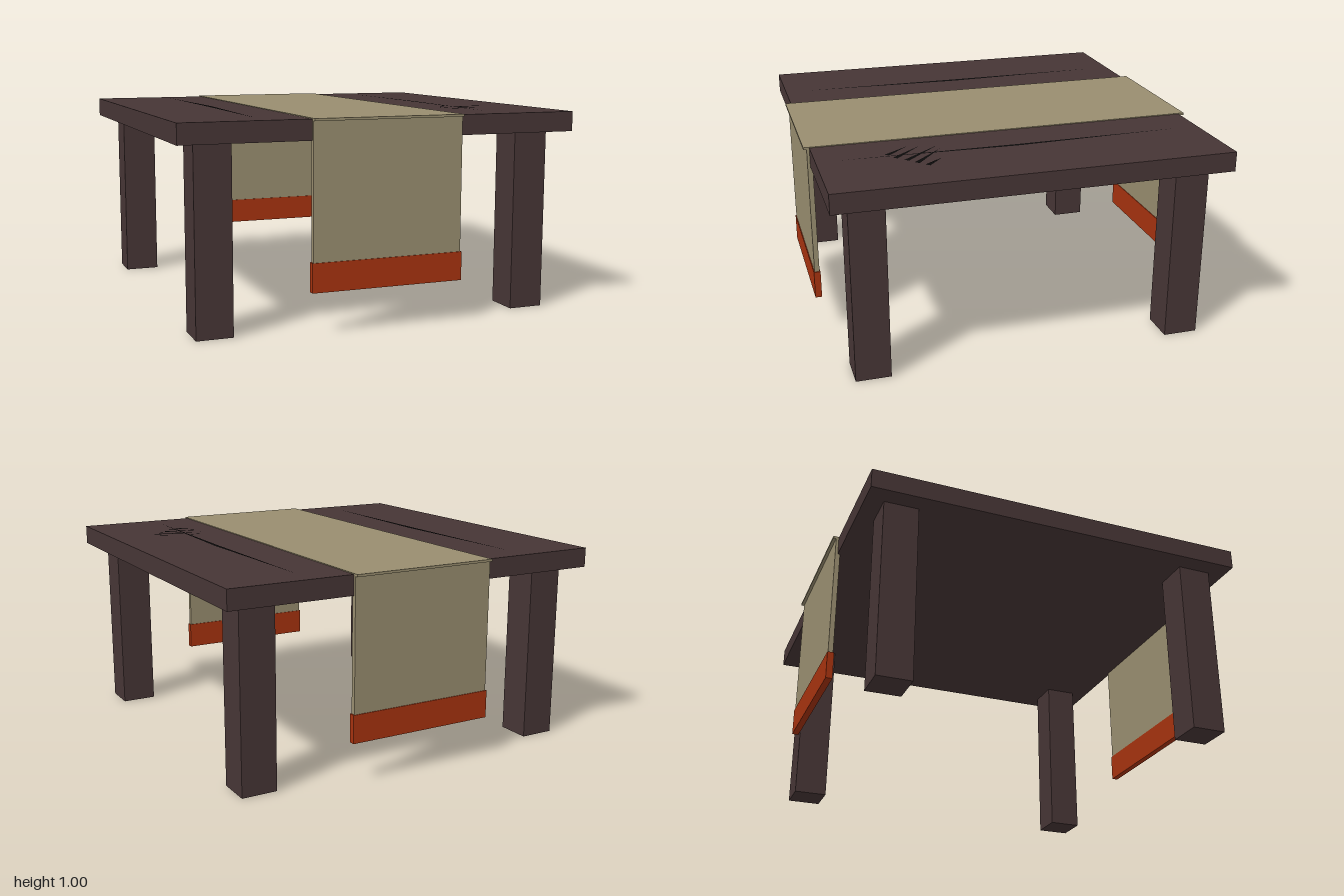
import * as THREE from 'three';

export function createModel() {
  const model = new THREE.Group();
  model.name = 'tableWithRunner';

  const material = (name, color) => {
    const m = new THREE.MeshStandardMaterial({ color });
    m.name = name;
    return m;
  };
  const wood = material('darkWood', 0x463535);
  const cloth = material('tanCloth', 0x988d6f);
  const hemRed = material('rustHem', 0xa6320f);
  const black = material('crackBlack', 0x0b0a0a);
  black.side = THREE.DoubleSide;

  const add = (name, geometry, mat, x, y, z) => {
    const mesh = new THREE.Mesh(geometry, mat);
    mesh.name = name;
    mesh.position.set(x, y, z);
    model.add(mesh);
    return mesh;
  };
  const box = (name, mat, w, h, d, x, y, z) =>
    add(name, new THREE.BoxGeometry(w, h, d), mat, x, y, z);

  // Flat outline of [x, z] points lying just above the table top
  const plate = (name, points) => {
    const shape = new THREE.Shape(points.map(([x, z]) => new THREE.Vector2(x, -z)));
    add(name, new THREE.ShapeGeometry(shape).rotateX(-Math.PI / 2), black, 0, 1.0, 0);
  };

  // Table top and four square legs
  box('tableTop', wood, 2, 0.098, 1.942, 0, 0.949, 0);
  for (const sx of [-1, 1]) {
    for (const sz of [-1, 1]) {
      box('leg', wood, 0.178, 0.9, 0.173, sx * 0.818, 0.45, sz * 0.796);
    }
  }

  // Cloth runner across the top, with a hanging panel and hem at each end
  box('runnerTop', cloth, 0.755, 0.012, 2, 0, 0.996, 0);
  for (const sz of [-1, 1]) {
    box('runnerDrop', cloth, 0.755, 0.66, 0.025, 0, 0.665, sz * 0.972);
    box('runnerHem', hemRed, 0.768, 0.14, 0.033, 0, 0.27, sz * 0.972);
  }

  // Long splits along the boards
  plate('leftSplit', [[0.597, -0.86], [0.605, 0], [0.597, 0.86], [0.625, 0]]);
  plate('rightSplit', [[-0.603, -0.86], [-0.599, 0], [-0.603, 0.86], [-0.573, 0]]);

  // Short scratches, each a wedge from a sharp start to a blunt end
  const scratches = [
    [0.49, 0.52, 0.585, 0.635], [0.5, 0.46, 0.635, 0.605], [0.51, 0.37, 0.68, 0.56],
    [0.56, 0.37, 0.725, 0.52], [0.69, 0.395, 0.768, 0.48],
  ];
  for (const [x0, z0, x1, z1] of scratches) {
    plate('scratch', [[x0, z0], [x1 - 0.009, z1 + 0.009], [x1 + 0.009, z1 - 0.009]]);
  }
  return model;
}
